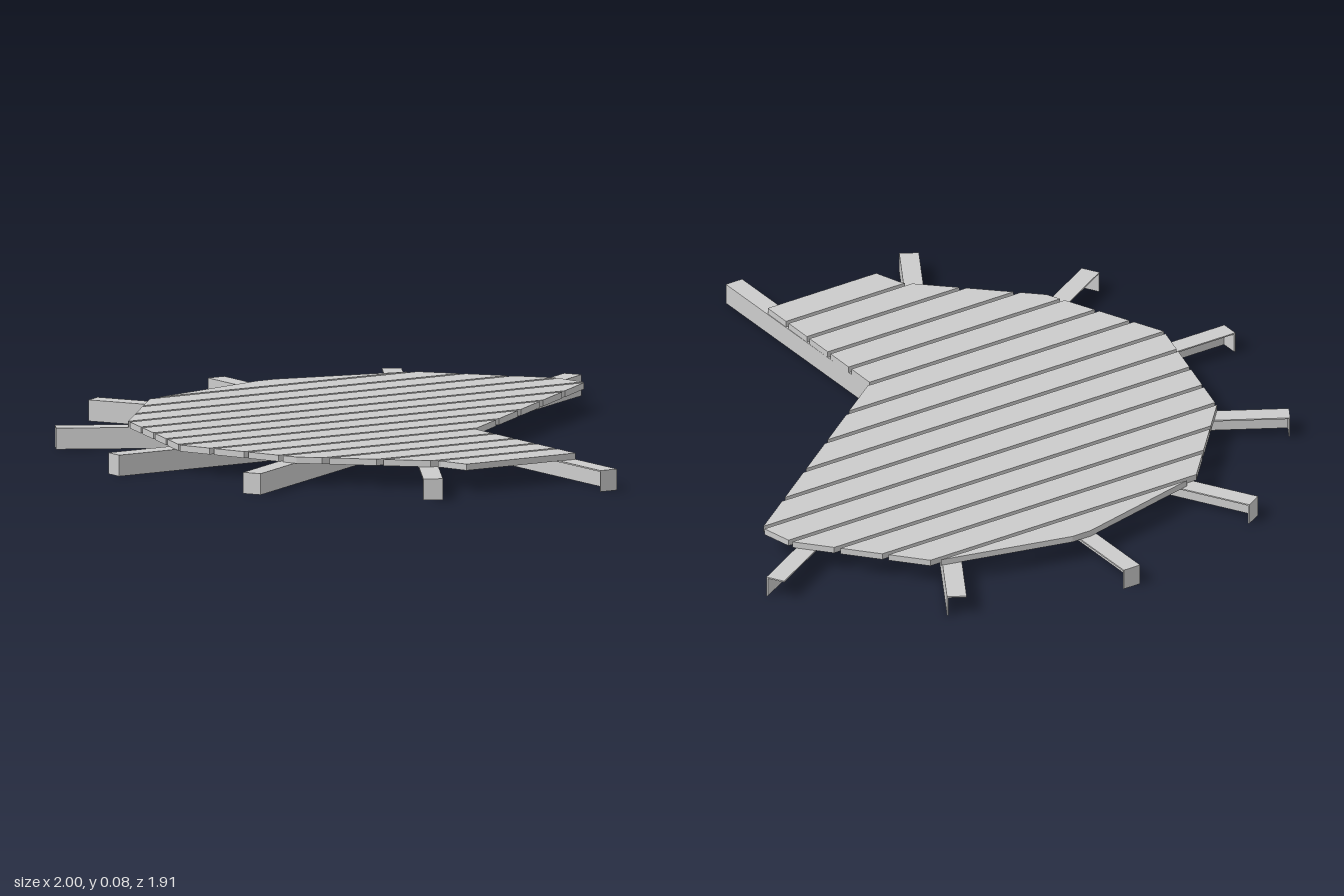
import * as THREE from 'three';

const TILT = THREE.MathUtils.degToRad(4.5); // turn of the whole frame
const HUB_Z = -0.043;
const BEAM_H = 0.06, BEAM_W = 0.055, SHEET = 0.004;
const INNER = 0.065, OUTER = 1.0;

const material = new THREE.MeshStandardMaterial({ color: 0xcccccc, flatShading: true });

// Deck outline as [x, z]
const OUTLINE = [
  [-0.315, -0.795], [-0.2, -0.81], [0.275, -0.05], [0.805, -0.005], [0.775, 0.355], [0.675, 0.38],
  [0.37, 0.655], [0, 0.78], [-0.43, 0.63], [-0.715, 0.33], [-0.787, -0.13], [-0.65, -0.55],
];

// Position across the planks
const across = ([x, z]) => x * Math.cos(TILT) + (z - HUB_Z) * Math.sin(TILT);

// Keep the part of a polygon where sign * (across - limit) >= 0
function clip(points, limit, sign) {
  const out = [];
  points.forEach((p, i) => {
    const q = points[(i + 1) % points.length];
    const a = sign * (across(p) - limit), b = sign * (across(q) - limit);
    if (a >= 0) out.push(p);
    if (a * b < 0) {
      const t = a / (a - b);
      out.push([p[0] + (q[0] - p[0]) * t, p[1] + (q[1] - p[1]) * t]);
    }
  });
  return out;
}

function box(name, w, h, d, x, y, z) {
  const mesh = new THREE.Mesh(new THREE.BoxGeometry(w, h, d), material);
  mesh.name = name;
  mesh.position.set(x, y, z);
  return mesh;
}

// Angle-section beam running along +x from the hub; side picks the edge carrying the web
function makeBeam(side, capped) {
  const beam = new THREE.Group();
  const length = OUTER - INNER, mid = (OUTER + INNER) / 2;
  beam.add(box('beamFlange', length, SHEET, BEAM_W, mid, BEAM_H - SHEET / 2, 0));
  beam.add(box('beamWeb', length, BEAM_H, SHEET, mid, BEAM_H / 2, side * (BEAM_W - SHEET) / 2));
  if (capped) beam.add(box('beamEndCap', SHEET, BEAM_H, BEAM_W, OUTER - SHEET / 2, BEAM_H / 2, 0));
  return beam;
}

export function createModel() {
  const model = new THREE.Group();
  model.name = 'deck';

  // Nine radial beams, 30 degrees apart
  const beams = new THREE.Group();
  beams.name = 'radialBeams';
  for (let i = 0; i < 9; i++) {
    const reversed = i >= 7;
    const beam = makeBeam(reversed ? 1 : -1, !reversed);
    beam.name = `beam${i + 1}`;
    beam.position.z = HUB_Z;
    beam.rotation.y = -(TILT + i * Math.PI / 6);
    beams.add(beam);
  }
  model.add(beams);

  // Parallel planks trimmed to the outline
  const planks = new THREE.Group();
  planks.name = 'planks';
  const pitch = 0.106, gap = 0.014, first = -0.791;
  for (let i = 0; i < 15; i++) {
    const start = first + i * pitch + gap / 2;
    const points = clip(clip(OUTLINE, start, 1), start + pitch - gap, -1);
    if (points.length < 3) continue;
    const shape = new THREE.Shape(points.map(([x, z]) => new THREE.Vector2(x, -z)));
    const geometry = new THREE.ExtrudeGeometry(shape, { depth: 0.018, bevelEnabled: false });
    geometry.rotateX(-Math.PI / 2);
    const plank = new THREE.Mesh(geometry, material);
    plank.name = `plank${i + 1}`;
    plank.position.y = BEAM_H;
    planks.add(plank);
  }
  model.add(planks);
  return model;
}
